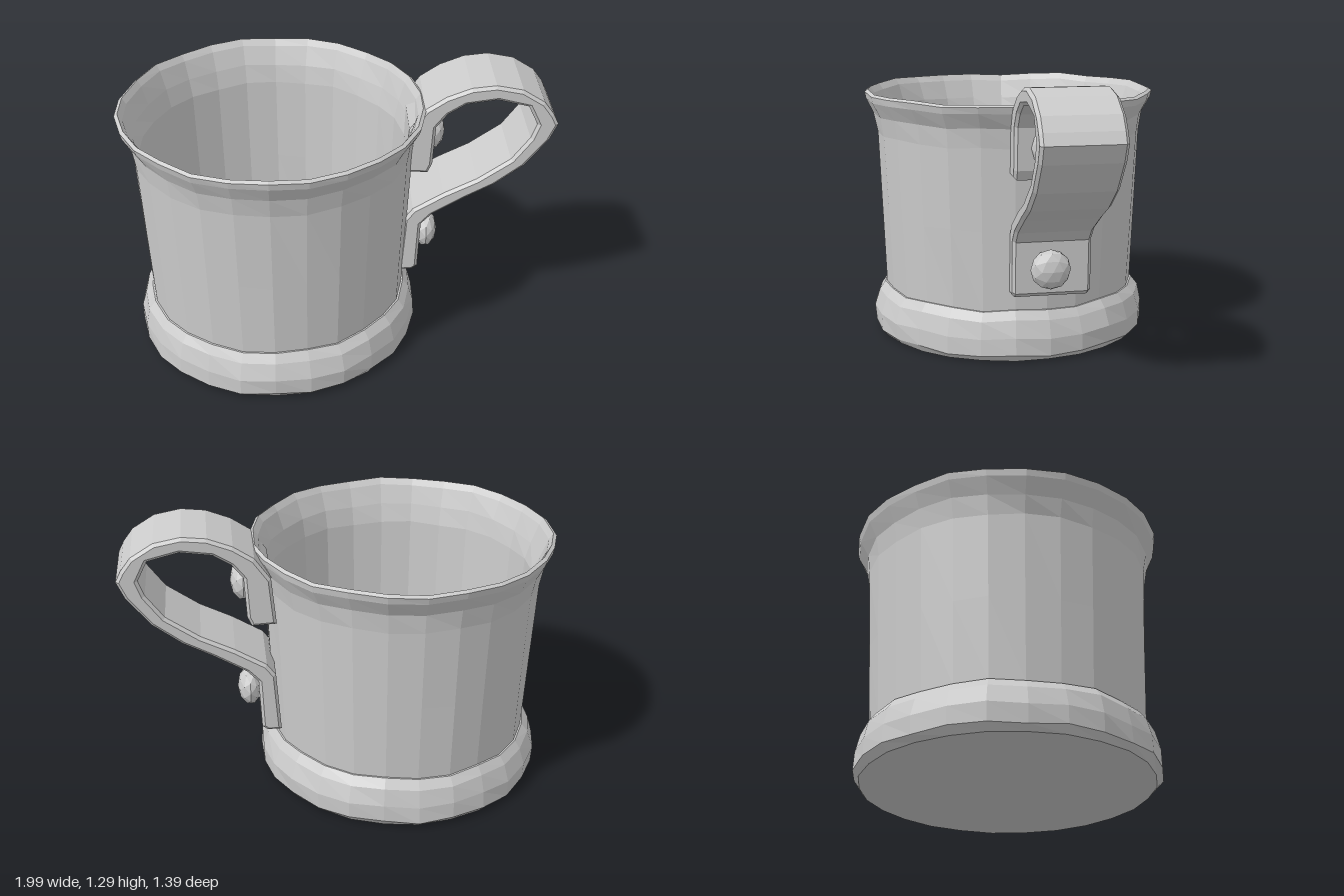
import * as THREE from 'three';

const CUP_X = -0.285;
const material = new THREE.MeshStandardMaterial({ color: 0xcccccc, flatShading: true });

function addMesh(parent, name, geometry) {
  const mesh = new THREE.Mesh(geometry, material);
  mesh.name = name;
  parent.add(mesh);
  return mesh;
}

const toPoints = (list) => list.map(([x, y]) => new THREE.Vector2(x, y));

// Faceted ring of revolution, slightly uneven as if hammered by hand
function hammeredLathe(profile, segments, rough) {
  const geometry = new THREE.LatheGeometry(toPoints(profile), segments);
  const p = geometry.attributes.position;
  for (let i = 0; i < p.count; i++) {
    const x = p.getX(i), y = p.getY(i), z = p.getZ(i);
    const r = Math.hypot(x, z);
    if (r < 0.01) continue;
    const a = Math.atan2(z, x);
    let k = 1 + rough * Math.sin(7 * a + 23 * y) * Math.cos(4 * a - 9 * y);
    let dy = y > 0.02 ? rough * 0.8 * Math.sin(9 * a + 5 * y) : 0;
    // Shallow pouring lip on the side opposite the handle
    if (y > 1.05) {
      const lip = Math.pow(Math.max(0, -x / r), 30);
      k += 0.02 * lip;
      dy -= 0.015 * lip;
    }
    p.setXYZ(i, x * k, y + dy, z * k);
  }
  geometry.computeVertexNormals();
  return geometry;
}

// Side outline extruded across the width of the handle, with a small bevel
function strap(outline, width) {
  const bevel = 0.014;
  const geometry = new THREE.ExtrudeGeometry(new THREE.Shape(toPoints(outline)), {
    depth: width - 2 * bevel,
    bevelEnabled: true,
    bevelThickness: bevel,
    bevelSize: bevel,
    bevelOffset: -bevel,
    bevelSegments: 1,
  });
  geometry.translate(0, 0, -width / 2 + bevel);
  return geometry;
}

export function createModel() {
  const model = new THREE.Group();
  model.name = 'mug';

  // Thin-walled body with flared rim and inner floor
  addMesh(model, 'body', hammeredLathe([
    [0.605, 0.1], [0.607, 0.23], [0.622, 0.6], [0.638, 0.98], [0.652, 1.07],
    [0.688, 1.14], [0.695, 1.17], [0.68, 1.18], [0.66, 1.15], [0.628, 1.06],
    [0.61, 0.97], [0.595, 0.55], [0.58, 0.1], [0, 0.1],
  ], 26, 0.006)).position.x = CUP_X;

  // Rounded foot band
  addMesh(model, 'foot', hammeredLathe([
    [0, 0], [0.64, 0], [0.667, 0.03], [0.668, 0.11], [0.645, 0.19],
    [0.615, 0.23], [0.59, 0.23],
  ], 26, 0.008)).position.x = CUP_X;

  // Handle: one bent strap with a tab at each end
  const handle = new THREE.Group();
  handle.name = 'handle';
  handle.position.z = -0.08;
  model.add(handle);
  addMesh(handle, 'handleStrap', strap([
    // Outer edge, from the upper tab round to the lower tab
    [0.31, 0.86], [0.33, 1.08], [0.4, 1.18], [0.49, 1.24], [0.6, 1.283], [0.71, 1.295],
    [0.83, 1.272], [0.93, 1.21], [0.975, 1.15], [1.0, 1.1], [0.965, 1.02],
    [0.86, 0.885], [0.73, 0.785], [0.6, 0.715], [0.45, 0.625], [0.4, 0.57],
    [0.39, 0.33], [0.365, 0.31],
    // Inner edge, back to the upper tab
    [0.3, 0.31], [0.32, 0.6], [0.36, 0.655], [0.5, 0.74], [0.65, 0.815],
    [0.8, 0.92], [0.88, 1.03], [0.905, 1.1], [0.86, 1.19], [0.72, 1.225],
    [0.58, 1.205], [0.5, 1.155], [0.45, 1.09], [0.44, 0.9], [0.42, 0.855],
  ], 0.36));

  // Domed rivets, one on each tab
  for (const [name, x, y] of [['upperRivet', 0.45, 1.0], ['lowerRivet', 0.435, 0.45]]) {
    const rivet = addMesh(handle, name, new THREE.IcosahedronGeometry(0.092, 1));
    rivet.scale.x = 0.62;
    rivet.position.set(x, y, 0.015);
  }
  return model;
}
